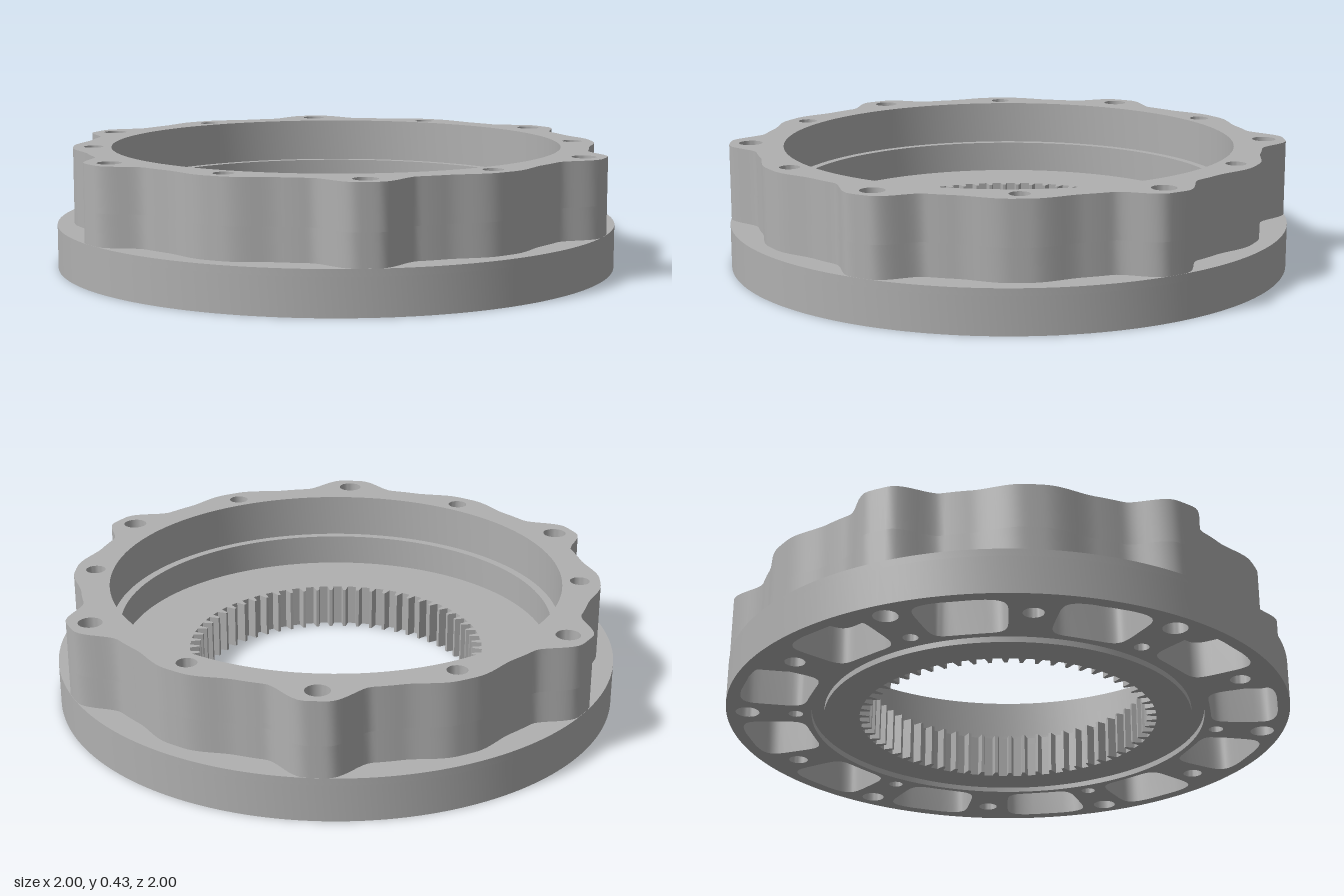
import * as THREE from 'three';
import { toCreasedNormals } from 'three/addons/utils/BufferGeometryUtils.js';

const RAD = Math.PI / 180;
const FIRST_BOLT = 27.2; // angle of the first lobe bolt, in degrees
const TEETH = 60;

const polar = (r, deg) => new THREE.Vector2(r * Math.cos(deg * RAD), r * Math.sin(deg * RAD));

// Closed outline from a radius rule r(angle in degrees)
function ring(radius, n = 120) {
  const rule = typeof radius === 'function' ? radius : () => radius;
  return Array.from({ length: n }, (_, i) => polar(rule((i * 360) / n), (i * 360) / n));
}

// Round hole at a polar position
function hole(r, deg, size) {
  const c = polar(r, deg);
  return ring(size, 28).map((p) => p.add(c));
}

// Wavy outer wall: six full lobes with six shallow bumps between them
function wallRadius(deg) {
  const near = (offset) => {
    const d = (((deg - FIRST_BOLT - offset) % 60) + 60) % 60;
    return Math.min(d, 60 - d);
  };
  const lobe = 1 - THREE.MathUtils.smoothstep(near(0), 2, 11);
  const bump = 1 - THREE.MathUtils.smoothstep(near(30), 2, 13);
  return 0.905 + 0.094 * lobe + 0.035 * bump;
}

// Internal gear outline, four corners per tooth
function gearOutline() {
  const pts = [];
  const pitch = 360 / TEETH;
  for (let i = 0; i < TEETH; i++) {
    const a = i * pitch;
    pts.push(polar(0.53, a - 0.27 * pitch), polar(0.53, a + 0.27 * pitch));
    pts.push(polar(0.496, a + 0.4 * pitch), polar(0.496, a + 0.6 * pitch));
  }
  return pts;
}

// Rounded sector-shaped lightening pocket
function pocket(deg) {
  const soft = (v) => Math.sign(v) * Math.pow(Math.abs(v), 0.4);
  return Array.from({ length: 40 }, (_, i) => {
    const t = ((i + 0.5) / 40) * Math.PI * 2;
    return polar(0.84 + 0.118 * soft(Math.cos(t)), deg + 9.8 * soft(Math.sin(t)));
  });
}

export function createModel() {
  const group = new THREE.Group();
  const metal = new THREE.MeshStandardMaterial({ color: 0xb0b0b0 });
  metal.name = 'grey metal';

  // Flat layer between two heights, with holes
  function layer(name, y0, y1, outer, holes) {
    const shape = new THREE.Shape(outer);
    shape.holes = holes.map((h) => new THREE.Path(h));
    const geo = new THREE.ExtrudeGeometry(shape, { depth: y1 - y0, bevelEnabled: false });
    geo.rotateX(-Math.PI / 2);
    geo.translate(0, y0, 0);
    const mesh = new THREE.Mesh(toCreasedNormals(geo, 0.5), metal);
    mesh.name = name;
    group.add(mesh);
  }

  // Bolt holes, dowel holes and pockets around the rim
  const bolts = [], dowels = [], pockets = [];
  for (let i = 0; i < 12; i++) {
    const a = FIRST_BOLT + i * 30;
    bolts.push(i % 2 ? hole(0.868, a, 0.035) : hole(0.925, a, 0.042));
    if (i % 2 === 0) dowels.push(hole(0.755, a, 0.026));
    pockets.push(pocket(a + 15));
  }
  const gear = gearOutline();
  const wall = ring(wallRadius, 360);

  // Base flange, open from below
  layer('pocketedFlange', 0, 0.13, ring(1, 180), [ring(0.7), ...bolts, ...dowels, ...pockets]);
  // Gear web with a shallow groove around its underside
  layer('gearLip', 0, 0.02, ring(0.655), [gear]);
  layer('gearWeb', 0.02, 0.13, ring(0.7), [gear]);
  layer('floorPlate', 0.13, 0.155, ring(1, 180), [gear, ...bolts]);
  // Lobed housing wall with a stepped bore
  layer('lowerWall', 0.155, 0.268, wall, [ring(0.775), ...bolts]);
  layer('upperWall', 0.268, 0.425, wall, [ring(0.805), ...bolts]);

  return group;
}
